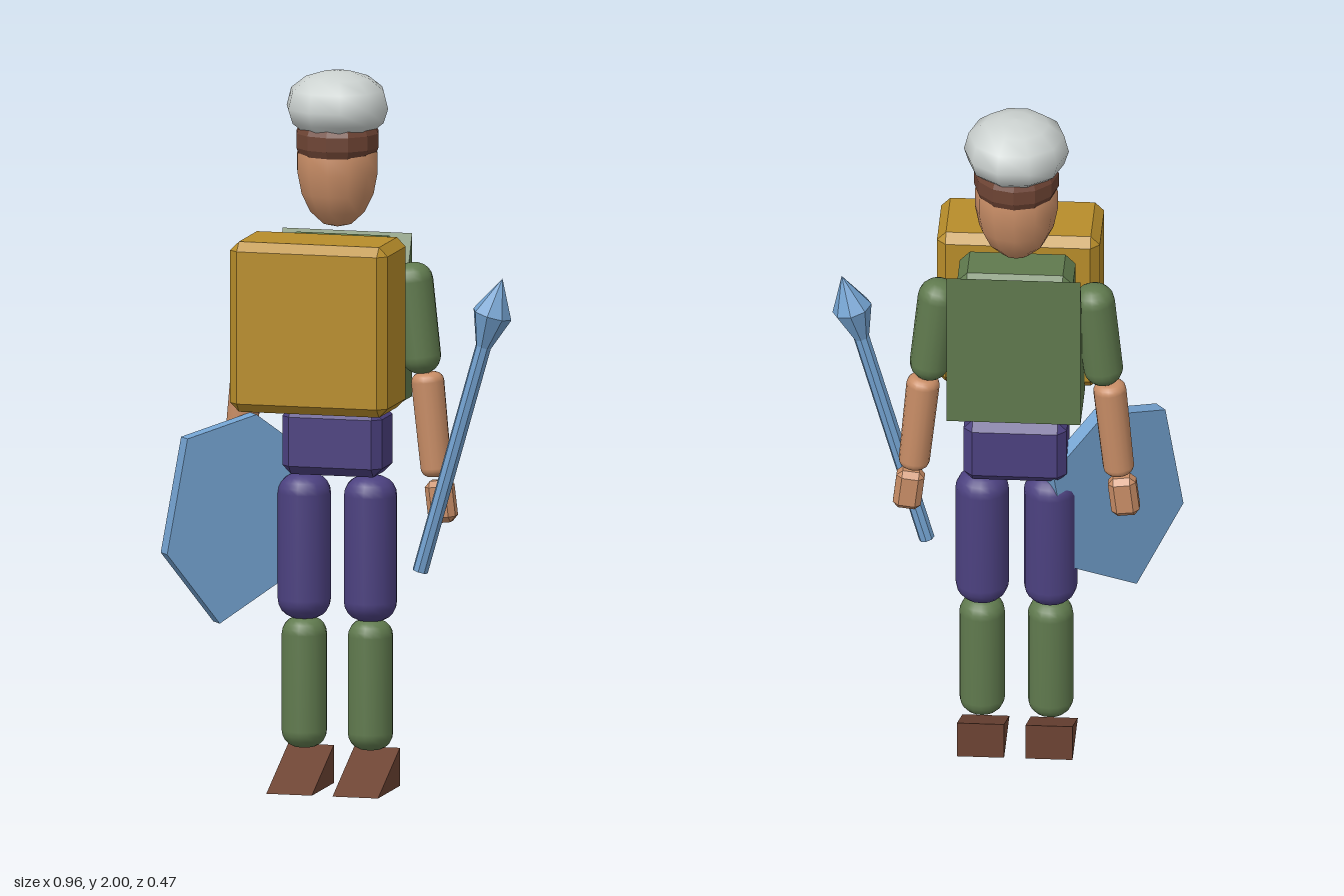
import * as THREE from 'three';
import { ConvexGeometry } from 'three/addons/geometries/ConvexGeometry.js';

const CX = -0.042, CZ = -0.1; // body axis
const mat = (color) => new THREE.MeshStandardMaterial({ color });
const flat = (color) => new THREE.MeshStandardMaterial({ color, flatShading: true });

const gold = 0xb88d2a, green = 0x607a4e, purple = 0x4c4180, skin = 0xc88d66;
const brown = 0x6e4434, white = 0xccd2d0, blue = 0x73a2d0;

export function createModel() {
  const model = new THREE.Group();

  function add(name, geometry, material, x = 0, y = 0, z = 0) {
    const mesh = new THREE.Mesh(geometry, material);
    mesh.name = name;
    mesh.position.set(x, y, z);
    model.add(mesh);
    return mesh;
  }

  // box with every edge cut at 45 degrees
  function chamferBox(w, h, d, c) {
    const points = [];
    for (const x of [-1, 1]) for (const y of [-1, 1]) for (const z of [-1, 1]) {
      points.push(
        new THREE.Vector3(x * w / 2, y * (h / 2 - c), z * (d / 2 - c)),
        new THREE.Vector3(x * (w / 2 - c), y * h / 2, z * (d / 2 - c)),
        new THREE.Vector3(x * (w / 2 - c), y * (h / 2 - c), z * d / 2));
    }
    return new ConvexGeometry(points);
  }

  // rounded limb, centred on its own middle, with end fillets of radius f
  function limb(rBottom, rTop, h, f) {
    const p = [new THREE.Vector2(0, -h / 2)];
    for (let i = 0; i <= 5; i++) {
      const a = i / 5 * Math.PI / 2;
      p.push(new THREE.Vector2(rBottom - f + f * Math.sin(a), -h / 2 + f - f * Math.cos(a)));
    }
    for (let i = 0; i <= 5; i++) {
      const a = i / 5 * Math.PI / 2;
      p.push(new THREE.Vector2(rTop - f + f * Math.cos(a), h / 2 - f + f * Math.sin(a)));
    }
    p.push(new THREE.Vector2(0, h / 2));
    return new THREE.LatheGeometry(p, 16);
  }

  // right triangle in profile: tall at the back, running out to the front
  function wedge(w, h, d) {
    const s = new THREE.Shape();
    s.moveTo(0, 0);
    s.lineTo(d, 0);
    s.lineTo(0, h);
    s.closePath();
    const g = new THREE.ExtrudeGeometry(s, { depth: w, bevelEnabled: false });
    return g.translate(0, 0, -w / 2).rotateY(-Math.PI / 2);
  }

  const lathe = (pairs, sides) =>
    new THREE.LatheGeometry(pairs.map(([r, y]) => new THREE.Vector2(r, y)), sides, Math.PI / 2);

  // head, headband and cap
  add('head', lathe([[0, 1.566], [0.04, 1.575], [0.078, 1.61], [0.103, 1.66], [0.115, 1.72],
    [0.115, 1.77], [0.1, 1.83], [0, 1.86]], 12), mat(skin), CX, 0, CZ).scale.z = 0.92;
  add('headband', lathe([[0, 1.77], [0.108, 1.77], [0.117, 1.79], [0.117, 1.83],
    [0.108, 1.85], [0, 1.85]], 12), flat(brown), CX, 0, CZ);
  add('cap', lathe([[0, 1.83], [0.095, 1.83], [0.132, 1.86], [0.145, 1.9], [0.132, 1.95],
    [0.09, 1.983], [0.045, 1.997], [0, 2]], 10), mat(white), CX, 0, CZ);

  // trunk
  add('torso', chamferBox(0.32, 0.45, 0.172, 0.028), mat(green), CX, 1.312, CZ);
  add('backPanel', wedge(0.37, 0.455, 0.197), mat(green), CX + 0.002, 1.085, -0.197);
  add('hips', chamferBox(0.285, 0.187, 0.16, 0.025), mat(purple), CX, 0.972, CZ);
  add('pack', chamferBox(0.45, 0.475, 0.238, 0.025), mat(gold), -0.04, 1.325, 0.111);

  // limbs, mirrored about the body axis
  for (const [side, s] of [['left', 1], ['right', -1]]) {
    const legX = CX + s * 0.0945;
    add(side + 'Thigh', limb(0.074, 0.074, 0.405, 0.055), mat(purple), legX, 0.672, CZ);
    add(side + 'Shin', limb(0.063, 0.063, 0.365, 0.048), mat(green), legX, 0.292, CZ);
    add(side + 'Foot', wedge(0.13, 0.106, 0.23), mat(brown), legX, 0, -0.17);

    add(side + 'UpperArm', limb(0.055, 0.058, 0.31, 0.05), mat(green), CX + s * 0.227, 1.32, CZ)
      .rotation.z = s * 0.12;
    add(side + 'Forearm', limb(0.043, 0.046, 0.29, 0.025), mat(skin), CX + s * 0.27, 1.025, CZ)
      .rotation.z = s * 0.1;
    add(side + 'Hand', chamferBox(0.078, 0.118, 0.06, 0.016), mat(skin), CX + s * 0.297, 0.812, CZ)
      .rotation.z = s * 0.12;
  }

  // spear leaning outwards beside the left hand
  const spear = add('spear', lathe([[0, 0], [0.022, 0], [0.022, 0.66], [0.056, 0.755],
    [0, 0.86]], 8), flat(blue), 0.209, 0.622, -0.047);
  spear.rotation.z = -0.277;

  // six-sided shield, tilted and turned away from the body
  const outline = new THREE.Shape([[0, 0.403], [0.195, 0.572], [0.195, 0.897], [0, 0.99],
    [-0.195, 0.897], [-0.195, 0.572]].map(([x, y]) => new THREE.Vector2(x - 0.37, y)));
  const plate = new THREE.ExtrudeGeometry(outline, { depth: 0.043, bevelEnabled: false });
  plate.translate(0, 0, -0.23).rotateZ(-0.191).rotateY(0.693);
  add('shield', plate, mat(blue));

  return model;
}
